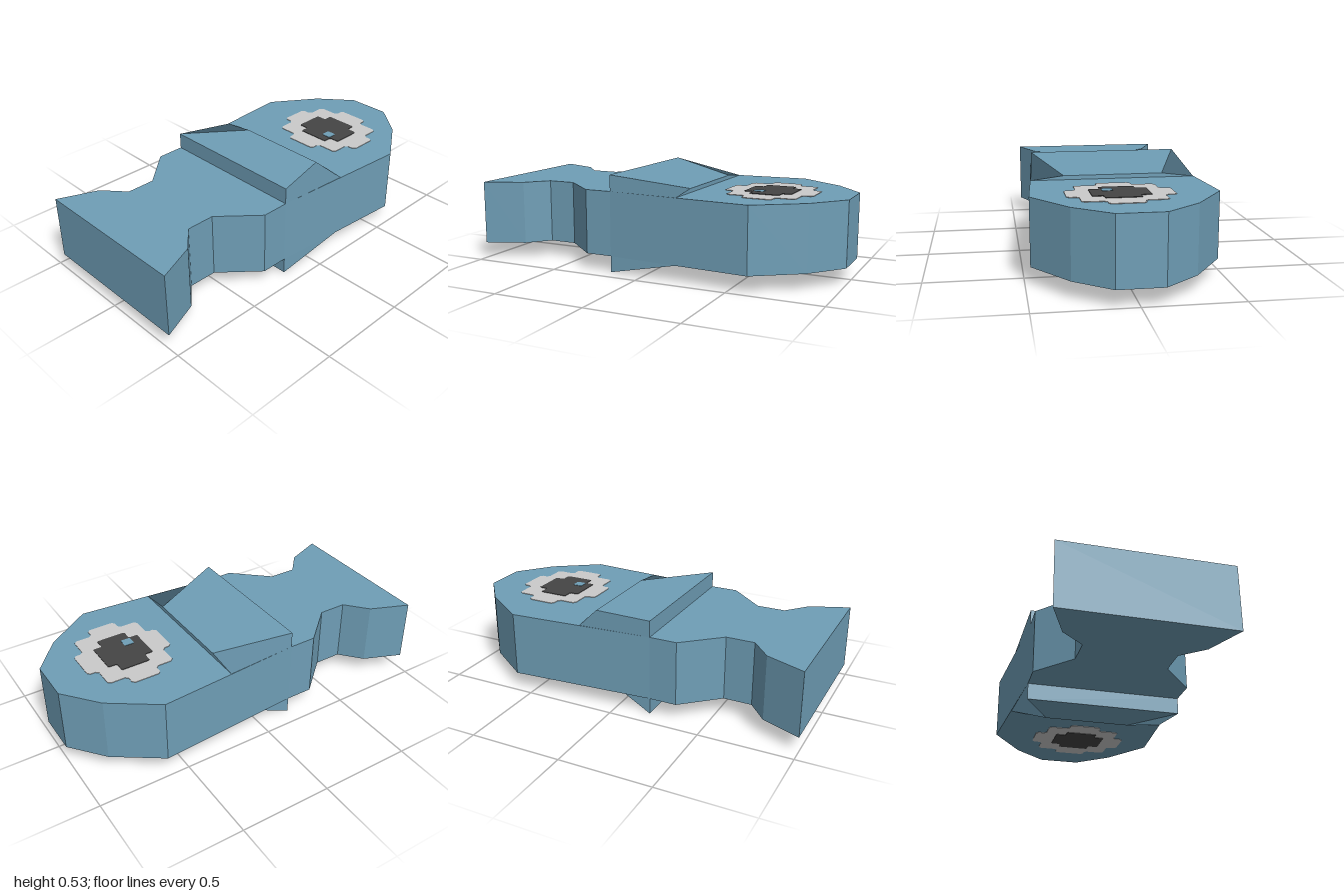
import * as THREE from 'three';

const BOTTOM = 0.09, TOP = 0.44;

const material = (name, color) => {
  const m = new THREE.MeshStandardMaterial({ color });
  m.name = name;
  return m;
};

// Slab with an outline of [x, z] points, from height y upward
function slab(name, outline, y, height, mat) {
  const shape = new THREE.Shape(outline.map(([x, z]) => new THREE.Vector2(x, -z)));
  const geo = new THREE.ExtrudeGeometry(shape, { depth: height, bevelEnabled: false });
  geo.rotateX(-Math.PI / 2).translate(0, y, 0);
  const mesh = new THREE.Mesh(geo, mat);
  mesh.name = name;
  return mesh;
}

// Stepped round outline from half extents [hx, hz], widest last, with clipped corners
function steppedOutline(cx, cz, steps, cut) {
  const quarter = [];
  steps.forEach(([hx, hz], i) => {
    if (i) quarter.push([steps[i - 1][0], hz]);
    quarter.push([hx, hz]);
  });
  const flip = (pts, sx, sz) => pts.map(([x, z]) => [x * sx, z * sz]);
  const back = [...quarter].reverse();
  const loop = [...quarter, ...flip(back, 1, -1), ...flip(quarter, -1, -1), ...flip(back, -1, 1)];
  const toward = (a, b) => {
    const d = Math.hypot(b[0] - a[0], b[1] - a[1]);
    return [cx + a[0] + (b[0] - a[0]) * cut / d, cz + a[1] + (b[1] - a[1]) * cut / d];
  };
  const n = loop.length;
  return loop.flatMap((p, i) => [toward(p, loop[(i + n - 1) % n]), toward(p, loop[(i + 1) % n])]);
}

// Wedge fin: a box with moved corners; it keeps the box normals on its twisted sides
function fin(name, frontHalf, mat) {
  const geo = new THREE.BoxGeometry(2, 2, 2);
  const p = geo.attributes.position;
  for (let i = 0; i < p.count; i++) {
    const front = p.getX(i) > 0, top = p.getY(i) > 0, side = Math.sign(p.getZ(i));
    const half = !front ? 0.413 : top ? frontHalf : 0.44;
    p.setXYZ(i, front ? 0.205 : -0.192, !top ? 0 : front ? 0.022 : 0.088, side * half);
  }
  const mesh = new THREE.Mesh(geo, mat);
  mesh.name = name;
  return mesh;
}

export function createModel() {
  const model = new THREE.Group();
  model.name = 'fish';
  const blue = material('fish blue', 0x6f9eb6);
  const grey = material('eye grey', 0xcbcbcb);
  const dark = material('pupil dark', 0x454545);

  // Body and tail
  const half = [[-1, 0.442], [-0.79, 0.356], [-0.688, 0.238], [-0.535, 0.238], [-0.34, 0.413],
    [-0.192, 0.413], [0.602, 0.472], [0.85, 0.3], [1, 0.118]];
  const mirrored = [...half].reverse().map(([x, z]) => [x, -z]);
  model.add(slab('body', [...half, ...mirrored], BOTTOM, TOP - BOTTOM, blue));

  // Side fins
  const upperFin = fin('upperFin', 0.265, blue);
  upperFin.position.y = TOP;
  const lowerFin = fin('lowerFin', 0.24, blue);
  lowerFin.rotation.x = Math.PI;
  lowerFin.position.y = BOTTOM;
  model.add(upperFin, lowerFin);

  // Eyes on both faces
  const white = steppedOutline(0.576, 0.027, [[0.08, 0.27], [0.185, 0.21], [0.24, 0.09]], 0.014);
  const pupil = steppedOutline(0.575, 0.027, [[0.08, 0.147], [0.128, 0.09]], 0.006);
  const glint = steppedOutline(0.521, 0.083, [[0.027, 0.027]], 0.005);
  model.add(slab('upperEye', white, TOP, 0.003, grey));
  model.add(slab('upperPupil', pupil, TOP, 0.006, dark));
  model.add(slab('upperGlint', glint, TOP, 0.008, blue));
  model.add(slab('lowerEye', white, BOTTOM - 0.003, 0.003, grey));
  model.add(slab('lowerPupil', pupil, BOTTOM - 0.006, 0.006, dark));

  return model;
}
